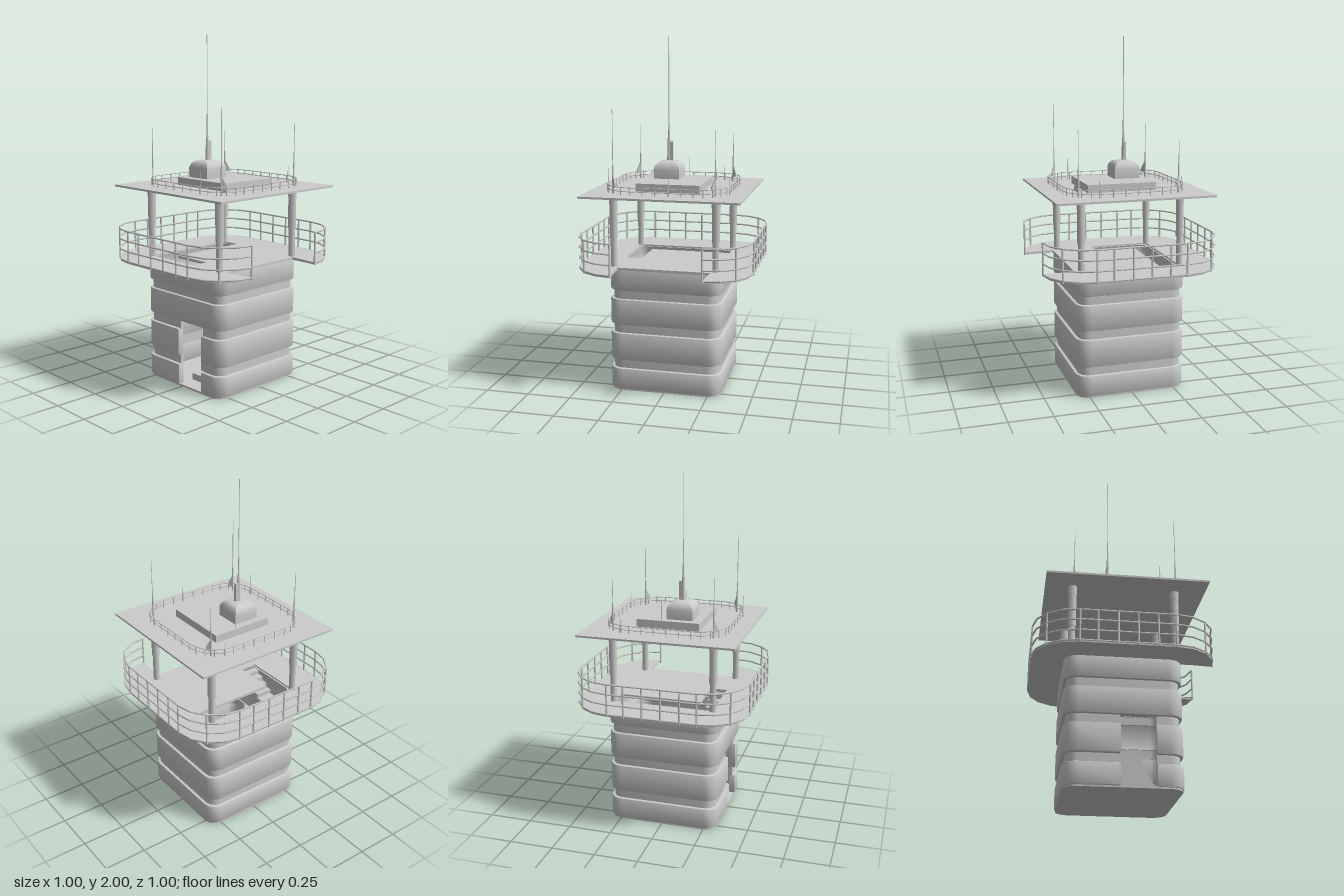
import * as THREE from 'three';
import { mergeGeometries, toCreasedNormals } from 'three/addons/utils/BufferGeometryUtils.js';

const grey = new THREE.MeshStandardMaterial({ color: 0xcccccc, side: THREE.DoubleSide });
const V2 = (x, z) => new THREE.Vector2(x, z);
const V3 = (x, y, z) => new THREE.Vector3(x, y, z);

// Rounded rectangle in plan; starts and ends on the front side
function roundedRect(hx, hz, r, n, cx = 0) {
  const pts = [];
  [[1, 1], [1, -1], [-1, -1], [-1, 1]].forEach(([sx, sz], k) => {
    for (let i = 0; i <= n; i++) {
      const a = Math.PI / 2 * (1 - k - i / n);
      pts.push(V2(cx + sx * (hx - r) + r * Math.cos(a), sz * (hz - r) + r * Math.sin(a)));
    }
  });
  return pts;
}

// Horizontal slab from a plan outline, between two heights
function slab(outline, y0, y1, bevel = 0, hole = null) {
  const shape = new THREE.Shape(outline);
  if (hole) shape.holes.push(new THREE.Path(hole));
  const g = new THREE.ExtrudeGeometry(shape, {
    depth: y1 - y0 - 2 * bevel, bevelEnabled: bevel > 0, bevelThickness: bevel,
    bevelSize: bevel, bevelOffset: -bevel, bevelSegments: 2,
  });
  g.rotateX(Math.PI / 2).translate(0, y1 - bevel, 0);
  return toCreasedNormals(g, 0.6);
}

// Round bar between two points
function bar(a, b, r0, r1 = r0, sides = 6) {
  const d = b.clone().sub(a);
  const g = new THREE.CylinderGeometry(r1, r0, d.length(), sides);
  g.applyQuaternion(new THREE.Quaternion().setFromUnitVectors(V3(0, 1, 0), d.normalize()));
  return g.translate((a.x + b.x) / 2, (a.y + b.y) / 2, (a.z + b.z) / 2);
}
const upright = (x, z, y0, y1, r0, r1, sides) => bar(V3(x, y0, z), V3(x, y1, z), r0, r1, sides);
const box = (x0, x1, y0, y1, z0, z1) => new THREE.BoxGeometry(x1 - x0, y1 - y0, z1 - z0)
  .translate((x0 + x1) / 2, (y0 + y1) / 2, (z0 + z1) / 2);

// Horizontal rails following a plan path
function rails(path, heights, r) {
  const out = [];
  for (const y of heights)
    for (let i = 1; i < path.length; i++)
      out.push(bar(V3(path[i - 1].x, y, path[i - 1].y), V3(path[i].x, y, path[i].y), r));
  return out;
}

export function createModel() {
  const model = new THREE.Group();
  const add = (name, ...geos) => {
    const mesh = new THREE.Mesh(mergeGeometries(geos.map(g => g.index ? g.toNonIndexed() : g)), grey);
    mesh.name = name;
    model.add(mesh);
  };

  // Hollow body: four bands with recessed grooves, doorway in the lower ones
  const HX = 0.32, HZ = 0.325, doorL = -0.02, doorR = 0.17;
  const ring = (y0, y1, inset, bevel, door) => {
    const outer = roundedRect(HX - inset, HZ - inset, 0.08 - inset, 6);
    const inner = roundedRect(0.285, 0.29, 0.045, 6);
    if (!door) return slab(outer, y0, y1, bevel, inner);
    return slab([V2(doorR, HZ - inset), ...outer, V2(doorL, HZ - inset),
      V2(doorL, 0.29), ...inner.reverse(), V2(doorR, 0.29)], y0, y1, bevel);
  };
  [[0.008, 0.13], [0.18, 0.34], [0.39, 0.54], [0.59, 0.715]].forEach(([y0, y1], i) =>
    add('bodyBand' + (i + 1), ring(y0, y1, 0, 0.008, i < 2)));
  [[0.125, 0.185], [0.335, 0.39], [0.535, 0.595]].forEach(([y0, y1], i) =>
    add('bodyGroove' + (i + 1), ring(y0, y1, 0.018, 0, i < 2)));
  add('floor', slab(roundedRect(HX - 0.006, HZ - 0.006, 0.075, 6), 0, 0.012));

  // Inner stair climbing in three flights
  const steps = [];
  for (let i = 0; i < 6; i++) {
    const t = i / 6, a = 0.22 - t * 0.4, b = -0.17 + t * 0.36, c = -0.17 + t * 0.24;
    steps.push(box(doorL, doorR, 0.012, 0.05 + t * 0.25, a - 0.067, a));
    steps.push(box(-0.285, -0.17, 0.28 + t * 0.25, 0.33 + t * 0.25, b, b + 0.06));
    steps.push(box(c, c + 0.04, 0.52 + t * 0.16, 0.57 + t * 0.16, 0.19, 0.29));
  }
  steps.push(box(-0.285, doorR, 0.26, 0.3, -0.29, -0.17), box(-0.285, -0.17, 0.5, 0.55, 0.19, 0.29));
  add('stair', ...steps);

  // Balcony deck, notched on one side, with an L-shaped stair opening
  const rim = roundedRect(0.495, 0.495, 0.24, 4);
  const path = [...rim.slice(5), ...rim.slice(0, 5)];
  const opening = [[-0.285, -0.29], [-0.17, -0.29], [-0.17, 0.19], [0.07, 0.19], [0.07, 0.29], [-0.285, 0.29]];
  add('deck', slab([V2(0.495, -0.265), ...path, V2(0.495, 0.265), V2(0.32, 0.265), V2(0.32, -0.265)],
    0.71, 0.725, 0, opening.map(p => V2(...p))));

  // Balcony railing
  const posts = [];
  for (const s of [-1, 1]) {
    for (const x of [-0.255, -0.16, -0.053, 0.053, 0.16, 0.255]) posts.push([x, s * 0.495]);
    for (const c of [-1, 1]) posts.push([s * 0.425, c * 0.425]);
    posts.push([0.495, s * 0.255]);
  }
  for (const z of [-0.255, -0.16, -0.053, 0.053, 0.16, 0.255]) posts.push([-0.495, z]);
  add('balconyRailing', ...rails(path, [0.722, 0.78, 0.84, 0.897], 0.005),
    ...posts.map(([x, z]) => upright(x, z, 0.71, 0.9, 0.0055)));

  // Roof pillars
  for (const x of [-0.285, 0.288])
    for (const z of [-0.29, 0.293])
      add('pillar', upright(x, z, 0.72, 0.9, 0.019, 0.019, 8), upright(x, z, 0.89, 1.09, 0.023, 0.023, 8),
        upright(x, z, 1.08, 1.138, 0.025, 0.025, 8));

  // Flat roof with plinth
  add('roof', box(-0.438, 0.46, 1.134, 1.145, -0.45, 0.445));
  add('plinth', box(-0.18, 0.22, 1.145, 1.19, -0.183, 0.183));

  // Low roof railing
  const loop = roundedRect(0.345, 0.348, 0.17, 5, 0.015);
  loop.push(loop[0]);
  const roofPosts = [];
  loop.forEach((p, i) => {
    roofPosts.push(p);
    const q = loop[i + 1];
    if (q && p.distanceTo(q) > 0.2)
      for (let k = 1; k < 5; k++) roofPosts.push(p.clone().lerp(q, k / 5));
  });
  add('roofRailing', ...rails(loop, [1.165, 1.187], 0.0025),
    ...roofPosts.map(p => upright(p.x, p.y, 1.14, 1.19, 0.003)));

  // Four-sided domed housing
  const dome = new THREE.LatheGeometry([[0.075, 1.188], [0.076, 1.245], [0.07, 1.265], [0.055, 1.282],
    [0.03, 1.29], [0, 1.292]].map(([r, y]) => V2(r * Math.SQRT2, y)), 4, Math.PI / 4);
  const domeGeo = toCreasedNormals(dome, 0.6);
  domeGeo.translate(-0.062, 0, 0.056);
  add('housing', domeGeo);

  // Central mast
  add('mast', upright(-0.062, 0.058, 1.285, 1.42, 0.012, 0.008), upright(-0.062, 0.058, 1.42, 1.6, 0.006, 0.002),
    upright(-0.062, 0.058, 1.6, 2, 0.0018), box(-0.07, -0.054, 1.285, 1.4, 0.034, 0.052));

  // Corner antennas with tapered foot and bracket
  for (const [x, z, top] of [[-0.277, 0.29, 1.475], [0.3, 0.29, 1.612], [0.3, -0.287, 1.505], [-0.277, -0.287, 1.43]]) {
    const fin = new THREE.ExtrudeGeometry(
      new THREE.Shape([V2(0, 1.17), V2(0.026, 1.18), V2(0.026, 1.2), V2(0, 1.25)]), { depth: 0.006, bevelEnabled: false });
    fin.translate(0, 0, -0.003).rotateY(-Math.atan2(-z, x > 0 ? x : -x) * Math.sign(x)).translate(x, 0, z);
    add('cornerAntenna', upright(x, z, 1.14, 1.3, 0.006, 0.004), upright(x, z, 1.3, top, 0.0025, 0.0015), fin);
  }
  // Small whip antennas on the railing
  for (const [x, z, top] of [[-0.165, -0.04, 1.3], [0.357, -0.04, 1.24], [-0.32, -0.225, 1.225], [0.2, 0.348, 1.27], [0.2, -0.348, 1.24]])
    add('whipAntenna', upright(x, z, 1.14, top, 0.003, 0.0015));

  return model;
}
